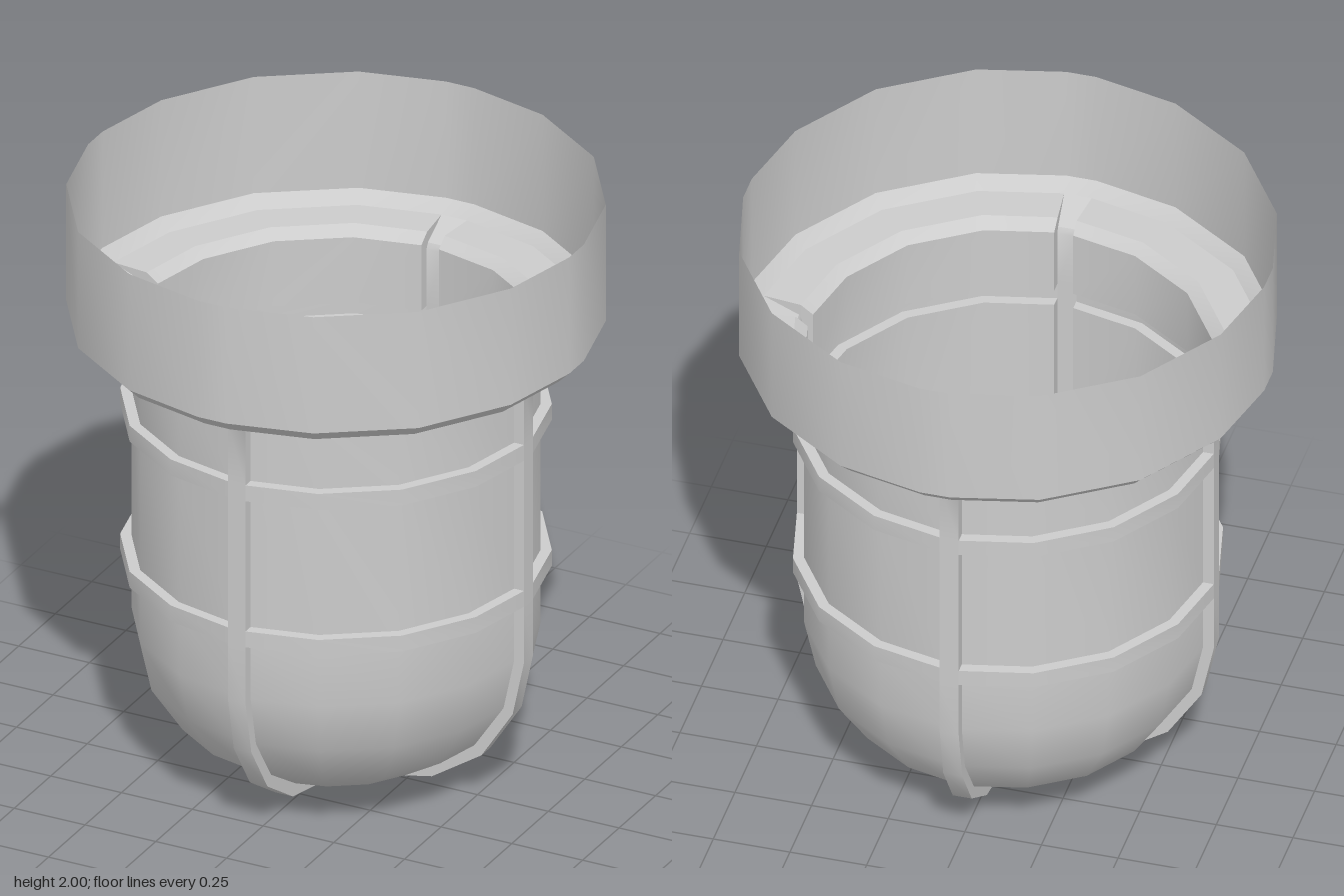
import * as THREE from 'three';
import { mergeGeometries, toCreasedNormals } from 'three/addons/utils/BufferGeometryUtils.js';

const material = new THREE.MeshStandardMaterial({ color: 0xcccccc, side: THREE.DoubleSide });

// Rows running down the pressed shell: [shell radius, shell y, rib half width, rib radius, rib y]
const W = 0.031;
const TOP = [[0.85, 2, 0.05], [0.85, 1.59, 0.05], [0.81, 1.55, 0.045]];
const FLANGE = [[0.81, 1.55, 0.045, 0.81, 1.55], [0.685, 1.55, W, 0.69, 1.51], [0.645, 1.52, W, 0.68, 1.49]];
const band = (y) => [
  [0.645, y + 0.028, W, 0.68, y + 0.028],
  [0.68, y + 0.028, W, 0.68, y + 0.028],
  [0.68, y - 0.028, W, 0.68, y - 0.028],
  [0.645, y - 0.028, W, 0.68, y - 0.028],
];
const UPPER = band(1.262);
const LOWER = band(0.747);
const DOME = [
  [0.645, 0.52, W, 0.68, 0.52],
  [0.608, 0.345, W, 0.64, 0.33],
  [0.505, 0.19, W, 0.53, 0.16],
  [0.34, 0.085, W, 0.355, 0.045],
  [0.155, 0.045, W, 0.16, 0.006],
  [W, 0.04, W, W, 0],
];

// Triangles between rows of points, leaving out collapsed ones
function grid(rows) {
  const out = [];
  const tri = (a, b, c) => {
    if (new THREE.Triangle(a, b, c).getArea() > 1e-7) for (const p of [a, b, c]) out.push(p.x, p.y, p.z);
  };
  for (let i = 0; i < rows.length - 1; i++) {
    for (let j = 0; j < rows[i].length - 1; j++) {
      const a = rows[i][j], b = rows[i][j + 1], c = rows[i + 1][j], d = rows[i + 1][j + 1];
      tri(a, b, c);
      tri(b, d, c);
    }
  }
  const g = new THREE.BufferGeometry();
  g.setAttribute('position', new THREE.Float32BufferAttribute(out, 3));
  return g;
}

// One quarter of the shell between two ribs; `closed` also spans the rib gap
function shellRow([r, y, w], closed) {
  const points = [new THREE.Vector3(r, y, w)];
  for (let k = 1; k < 4; k++) {
    const a = (k * Math.PI) / 8;
    points.push(new THREE.Vector3(Math.max(w, r * Math.cos(a)), y, Math.max(w, r * Math.sin(a))));
  }
  points.push(new THREE.Vector3(w, y, r));
  if (closed) points.push(new THREE.Vector3(-w, y, r));
  return points;
}

// Cross-section of a rib channel: side wall, outer face, side wall
const ribRow = ([r, y, w, R, Y]) => [
  new THREE.Vector3(r, y, -w),
  new THREE.Vector3(R, Y, -w),
  new THREE.Vector3(R, Y, w),
  new THREE.Vector3(r, y, w),
];

// Repeat a quarter four times around the axis
function fourfold(name, quarters) {
  const parts = [];
  for (const q of quarters) for (let k = 0; k < 4; k++) parts.push(q.clone().rotateY((k * Math.PI) / 2));
  const mesh = new THREE.Mesh(toCreasedNormals(mergeGeometries(parts), 0.6), material);
  mesh.name = name;
  return mesh;
}

const shell = (rows, closed = false) => grid(rows.map((row) => shellRow(row, closed)));

export function createModel() {
  const group = new THREE.Group();
  group.name = 'cagedLampCover';

  // Open collar with chamfered lower edge
  group.add(fourfold('collar', [shell(TOP, true)]));
  group.add(fourfold('flange', [shell(FLANGE)]));

  // Round-bottomed globe, left open behind the bands and ribs
  group.add(fourfold('globe', [
    shell([FLANGE[2], UPPER[0]]),
    shell([UPPER[3], LOWER[0]]),
    shell([LOWER[3], ...DOME]),
  ]));

  // Cage
  group.add(fourfold('upperBand', [shell(UPPER)]));
  group.add(fourfold('lowerBand', [shell(LOWER)]));
  group.add(fourfold('cageRibs', [grid([...FLANGE, ...UPPER, ...LOWER, ...DOME].map(ribRow))]));

  // Square where the ribs cross underneath
  const crossing = new THREE.Mesh(new THREE.PlaneGeometry(2 * W, 2 * W).rotateX(Math.PI / 2), material);
  crossing.name = 'ribCrossing';
  group.add(crossing);

  return group;
}
